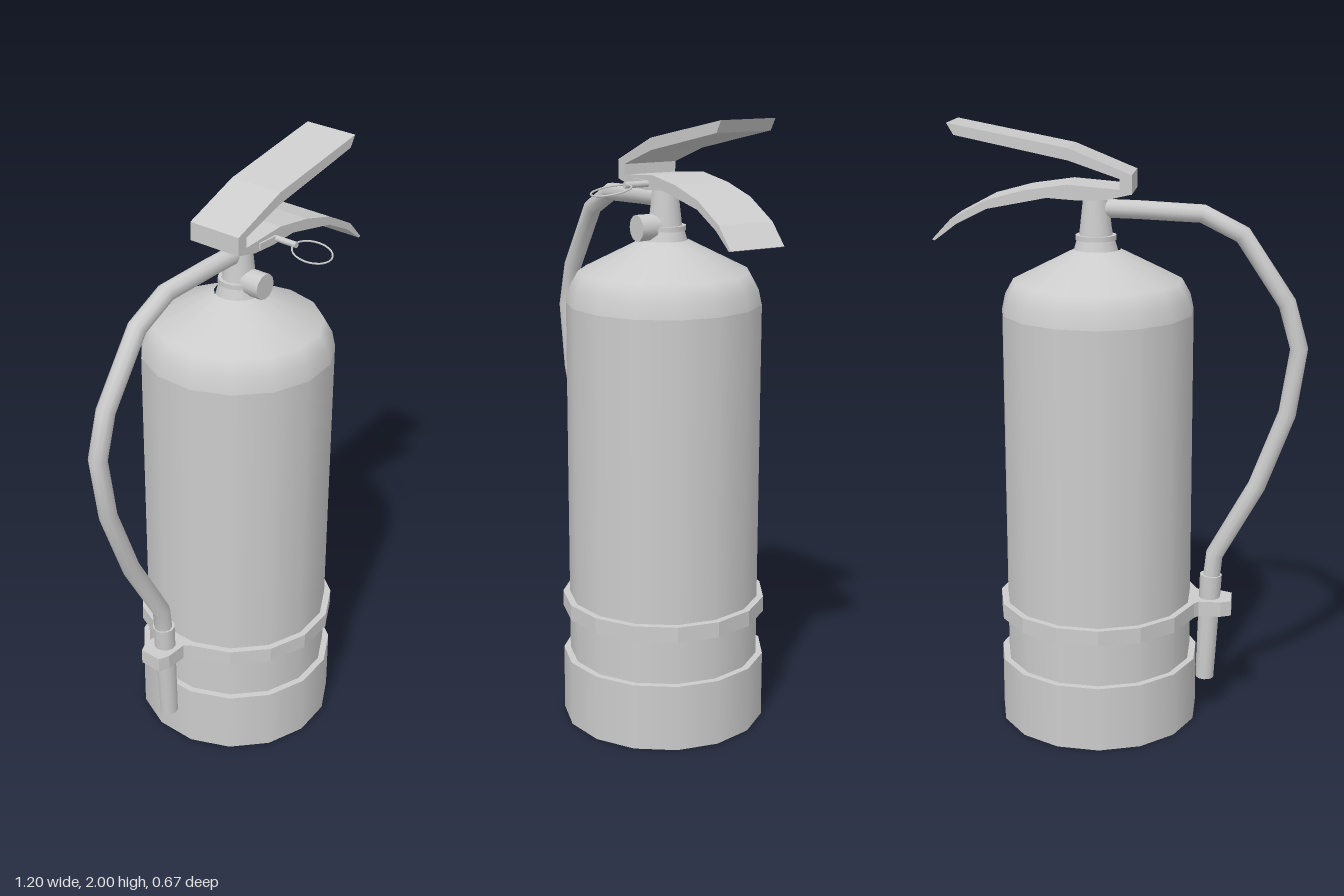
import * as THREE from 'three';

const CX = 0.08;    // axis of the cylinder body
const SIDES = 15;   // facets around the body

export function createModel() {
  const group = new THREE.Group();
  const material = new THREE.MeshStandardMaterial({ color: 0xcccccc });

  const add = (name, geometry, x = 0, y = 0, z = 0) => {
    const mesh = new THREE.Mesh(geometry, material);
    mesh.name = name;
    mesh.position.set(x, y, z);
    group.add(mesh);
    return mesh;
  };
  const vectors = (pairs) => pairs.map(([x, y]) => new THREE.Vector2(x, y));
  const lathe = (pairs, sides = SIDES) =>
    new THREE.LatheGeometry(vectors(pairs), sides, Math.PI / 2);
  const extrude = (pairs, depth) =>
    new THREE.ExtrudeGeometry(new THREE.Shape(vectors(pairs)), { depth, bevelEnabled: false });

  // Base and tank
  add('baseCup', new THREE.CylinderGeometry(0.335, 0.335, 0.22, SIDES, 1, false, Math.PI / 2), CX, 0.11);
  add('tank', lathe([[0.313, 0.2], [0.313, 1.4]]), CX);
  add('tankShoulder', lathe([[0.313, 1.4], [0.302, 1.45], [0.274, 1.5], [0.075, 1.6]]), CX);

  // Strap around the tank with a clip that holds the nozzle
  const strap = [];
  for (let i = -7; i <= 7; i++) {
    const a = (i / SIDES) * Math.PI * 2;
    strap.push([CX + 0.335 * Math.cos(a), 0.335 * Math.sin(a)]);
  }
  strap.push([-0.262, 0.053], [-0.335, 0.053], [-0.37, 0.038],
    [-0.37, -0.038], [-0.335, -0.053], [-0.262, -0.053]);
  add('strap', extrude(strap, 0.052).rotateX(-Math.PI / 2), 0, 0.37);

  // Neck, collar and tapered valve
  const VX = 0.085;
  add('neck', new THREE.CylinderGeometry(0.06, 0.075, 0.05, 16), VX, 1.61);
  add('collar', new THREE.CylinderGeometry(0.066, 0.066, 0.016, 16), VX, 1.638);
  add('valve', new THREE.CylinderGeometry(0.038, 0.055, 0.15, 16), VX, 1.71);
  add('gauge', new THREE.CylinderGeometry(0.042, 0.042, 0.1, 12).rotateX(Math.PI / 2), VX, 1.642, 0.055);

  // Handle: upper lever, and curved lower grip
  const WIDTH = 0.188;
  add('upperLever', extrude([
    [-0.038, 1.785], [0, 1.785], [0, 1.833], [0.16, 1.888], [0.518, 1.963],
    [0.54, 2], [0.16, 1.926], [-0.038, 1.845],
  ], WIDTH), 0, 0, -0.09);
  add('lowerGrip', extrude([
    [-0.038, 1.786], [0.04, 1.768], [0.13, 1.765], [0.23, 1.772], [0.42, 1.735],
    [0.52, 1.685], [0.588, 1.633], [0.597, 1.636], [0.535, 1.702], [0.42, 1.763],
    [0.3, 1.795], [0.165, 1.814], [0, 1.8],
  ], WIDTH), 0, 0, -0.09);

  // Safety pin with pull ring
  add('pinPlate', new THREE.BoxGeometry(0.08, 0.02, 0.008), 0.1, 1.785, 0.1);
  add('pin', new THREE.CylinderGeometry(0.01, 0.01, 0.21, 8).rotateX(Math.PI / 2), 0.14, 1.785, 0.075);
  const ring = add('pullRing', new THREE.TorusGeometry(0.063, 0.003, 6, 24), 0.15, 1.773, 0.232);
  ring.rotation.x = Math.PI / 2 + 0.2;

  // Hose: one straight segment between each pair of path points
  const path = new THREE.CatmullRomCurve3([
    [0.07, 1.73], [-0.05, 1.727], [-0.255, 1.717], [-0.383, 1.652], [-0.528, 1.435], [-0.57, 1.288],
    [-0.538, 1.07], [-0.445, 0.82], [-0.31, 0.575], [-0.297, 0.45],
  ].map(([x, y]) => new THREE.Vector3(x, y, 0)));
  path.getPointAt = path.getPoint;
  path.getTangentAt = path.getTangent;
  add('hose', new THREE.TubeGeometry(path, path.points.length - 1, 0.03, 10));

  // Nozzle, leaning slightly towards the tank
  const nozzle = add('nozzle', new THREE.CylinderGeometry(0.037, 0.031, 0.375, 12), -0.291, 0.315);
  nozzle.rotation.z = 0.045;

  return group;
}
